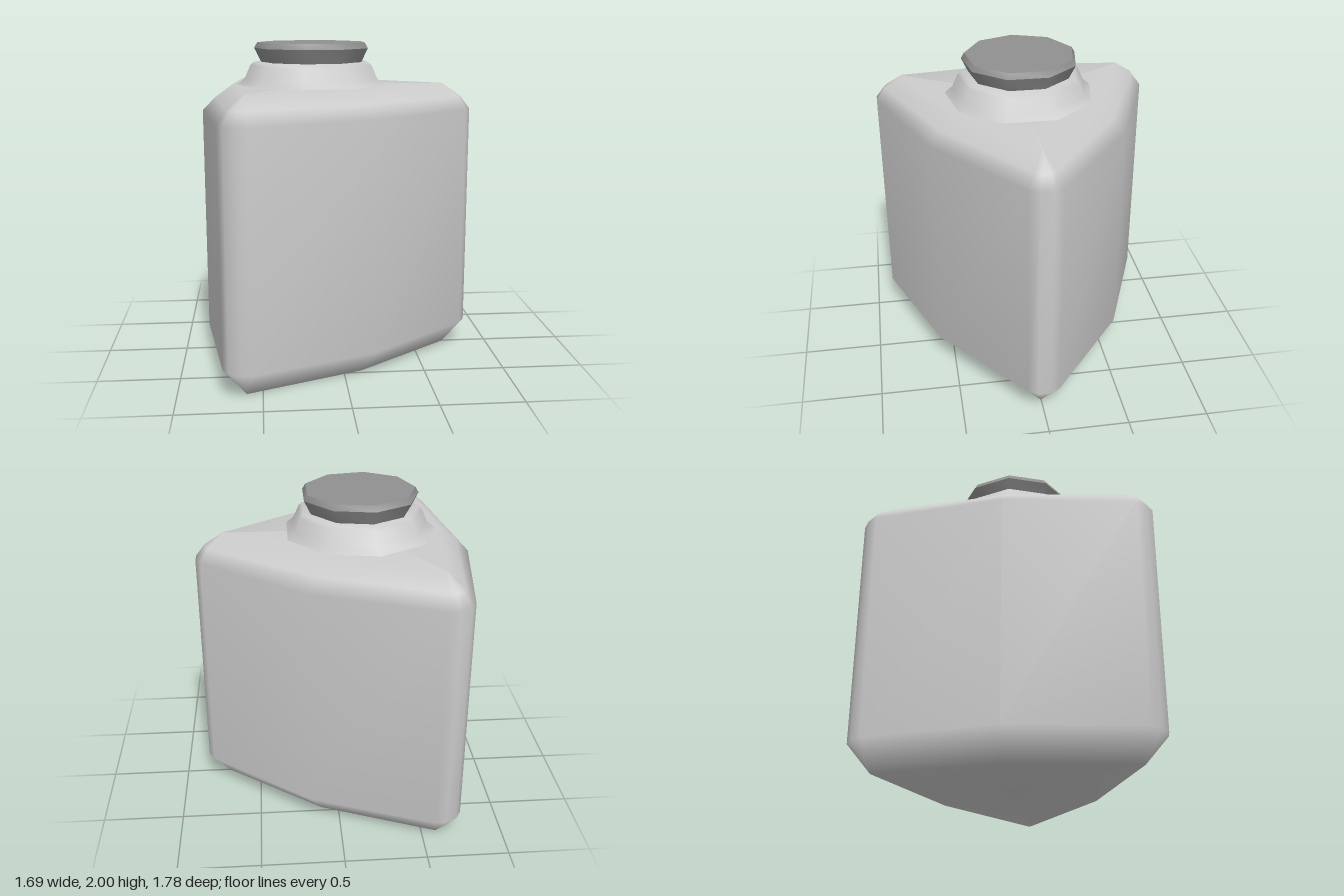
import * as THREE from 'three';
import { toCreasedNormals } from 'three/addons/utils/BufferGeometryUtils.js';

const CENTRE_X = -0.16;

// Three-sided outline: four points round each corner, one on each bulged side.
// tip and mid are radii, w scales the width of the corner rounding.
function outline({ tip, mid, w }) {
  const points = [];
  for (let k = 0; k < 3; k++) {
    const turn = (k * Math.PI * 2) / 3;
    const local = [
      [tip - 0.035 * w, -0.1 * w],
      [tip, -0.04 * w],
      [tip, 0.04 * w],
      [tip - 0.035 * w, 0.1 * w],
      [mid * Math.cos(Math.PI / 3), mid * Math.sin(Math.PI / 3)],
    ];
    for (const [x, z] of local) {
      points.push([
        x * Math.cos(turn) - z * Math.sin(turn),
        x * Math.sin(turn) + z * Math.cos(turn),
      ]);
    }
  }
  return points;
}

// Stacked outlines, closed at both ends by fans
function bodyGeometry() {
  const rings = [
    { y: 0, tip: 0.87, mid: 0.54, w: 0.06 },
    { y: 0.165, tip: 1.003, mid: 0.688, w: 1 },
    { y: 1.58, tip: 1.003, mid: 0.688, w: 1 },
    { y: 1.66, tip: 0.945, mid: 0.61, w: 0.6 },
    { y: 1.74, tip: 0.83, mid: 0.5, w: 0.06 },
  ];
  const n = 15;
  const positions = [];
  const index = [];
  for (const ring of rings) {
    for (const [x, z] of outline(ring)) positions.push(x, ring.y, z);
  }
  const bottom = rings.length * n;
  const top = bottom + 1;
  positions.push(0, 0, 0, 0, 1.74, 0);
  const last = (rings.length - 1) * n;
  for (let i = 0; i < n; i++) {
    const next = (i + 1) % n;
    for (let j = 0; j < rings.length - 1; j++) {
      const a = j * n + i, b = j * n + next;
      index.push(a, a + n, b, b, a + n, b + n);
    }
    index.push(bottom, i, next, top, last + next, last + i);
  }
  const geometry = new THREE.BufferGeometry();
  geometry.setAttribute('position', new THREE.Float32BufferAttribute(positions, 3));
  geometry.setIndex(index);
  geometry.computeVertexNormals();
  return geometry;
}

// Nine-sided turned part with a corner pointing to -x
function turned(profile, crease) {
  const points = profile.map(([r, y]) => new THREE.Vector2(r, y));
  return toCreasedNormals(new THREE.LatheGeometry(points, 9, -Math.PI / 2), crease);
}

export function createModel() {
  const group = new THREE.Group();
  group.name = 'bottle';
  const glass = new THREE.MeshStandardMaterial({ color: 0xcccccc });
  const dark = new THREE.MeshStandardMaterial({ color: 0x909090 });

  const add = (name, geometry, material) => {
    const mesh = new THREE.Mesh(geometry, material);
    mesh.name = name;
    mesh.position.x = CENTRE_X;
    group.add(mesh);
  };

  add('body', bodyGeometry(), glass);

  // Neck flaring into the shoulder, with a flat rim
  add('neck', turned([
    [0.47, 1.738], [0.42, 1.78], [0.385, 1.86], [0.362, 1.88], [0, 1.88],
  ], 1.15), glass);

  // Stopper widening upwards, with a bevelled top edge
  add('stopper', turned([
    [0, 1.875], [0.315, 1.875], [0.36, 1.965], [0.34, 2], [0, 2],
  ], 0.9), dark);

  return group;
}
